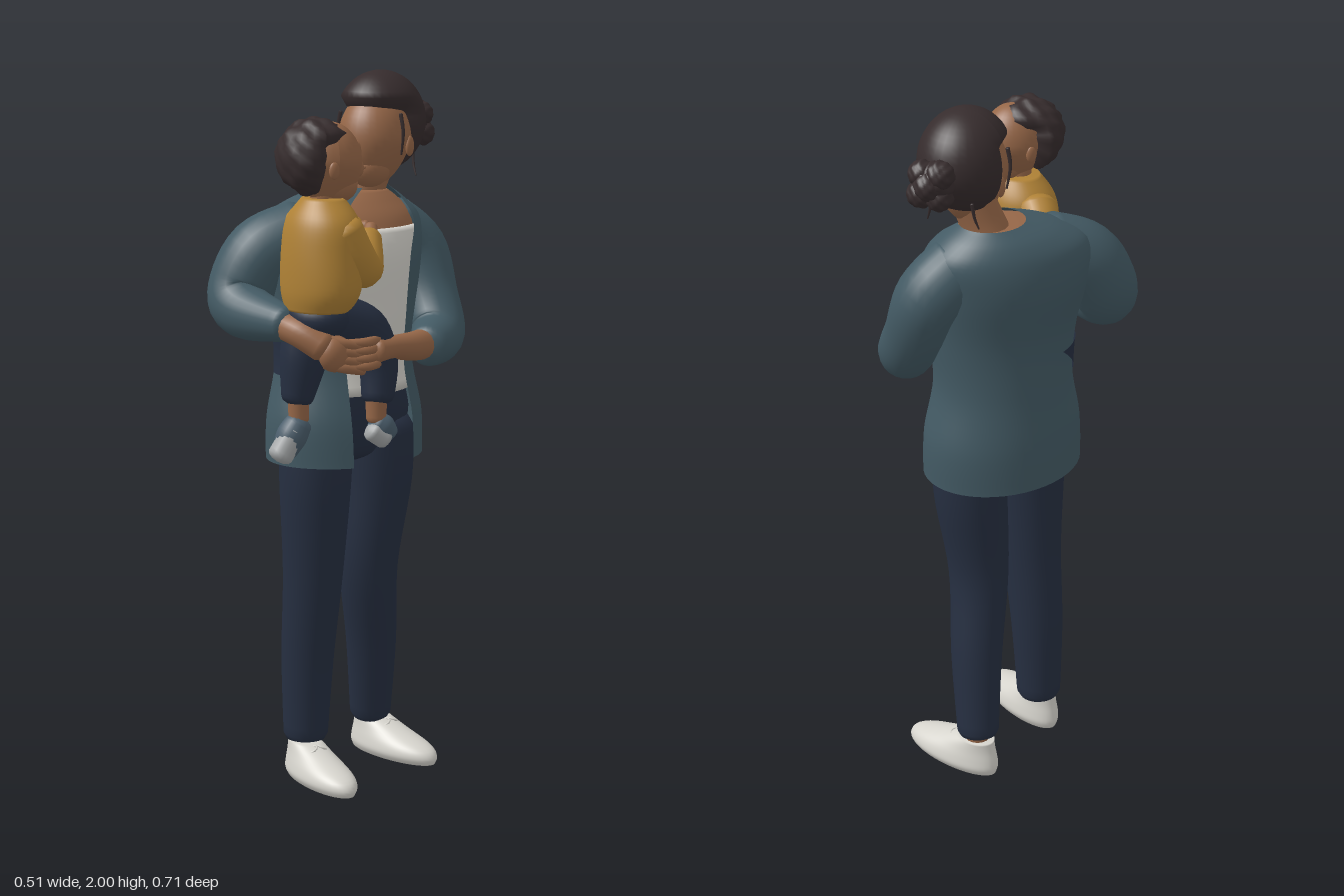
import * as THREE from 'three';

const mat = (name, color, side = THREE.FrontSide) => {
  const m = new THREE.MeshStandardMaterial({ color, side });
  m.name = name;
  return m;
};

// Catmull-Rom through rows of numbers, every column blended alike
function smooth(rows, n = 6) {
  const out = [], at = i => rows[Math.min(rows.length - 1, Math.max(0, i))];
  for (let i = 0; i < rows.length - 1; i++) {
    for (let k = 0; k < n; k++) {
      const t = k / n, [a, b, c, d] = [at(i - 1), at(i), at(i + 1), at(i + 2)];
      out.push(b.map((v, j) => 0.5 * (2 * v + (c[j] - a[j]) * t
        + (2 * a[j] - 5 * v + 4 * c[j] - d[j]) * t * t + (3 * v - a[j] - 3 * c[j] + d[j]) * t * t * t)));
    }
  }
  out.push(rows[rows.length - 1]);
  return out;
}

// Skin rings of points into a surface
function skinRings(rings, wrap = true) {
  const m = rings[0].length, pos = [], idx = [];
  rings.forEach(r => r.forEach(p => pos.push(p.x, p.y, p.z)));
  for (let i = 0; i < rings.length - 1; i++) {
    for (let j = 0; j < (wrap ? m : m - 1); j++) {
      const a = i * m + j, b = i * m + (j + 1) % m;
      idx.push(a, b, a + m, b, b + m, a + m);
    }
  }
  const g = new THREE.BufferGeometry();
  g.setAttribute('position', new THREE.Float32BufferAttribute(pos, 3));
  g.setIndex(idx);
  g.computeVertexNormals();
  return g;
}

// Upright body from rows [x, y, z, depth, width, yaw, gap to the left, gap to the right]
function body(rows, open = false, m = 40) {
  const ring = ([x, y, z, rx, rz, yaw = 0, left = 0, right = 0], s = 1) => Array.from({ length: m }, (_, j) => {
    const a = open ? left + (2 * Math.PI - left - right) * j / (m - 1) : 2 * Math.PI * j / m;
    const f = s * rx * Math.cos(a), w = -s * rz * Math.sin(a);
    return new THREE.Vector3(x + f * Math.cos(yaw) - w * Math.sin(yaw), y, z + f * Math.sin(yaw) + w * Math.cos(yaw));
  });
  const rings = rows.map(r => ring(r));
  if (!open) {
    rings.unshift(ring(rows[0], 0.001));
    rings.push(ring(rows[rows.length - 1], 0.001));
  }
  return skinRings(rings, !open);
}

// Rounded limb through rows [x, y, z, radius]
function limb(points, m = 16) {
  const rows = smooth(points), n = rows.length, rings = [];
  const P = rows.map(r => new THREE.Vector3(r[0], r[1], r[2]));
  const N = new THREE.Vector3(0.31, 0.2, 0.93);
  const ring = (c, T, r) => {
    N.addScaledVector(T, -N.dot(T)).normalize();
    const B = new THREE.Vector3().crossVectors(T, N);
    rings.push(Array.from({ length: m }, (_, j) => {
      const a = 2 * Math.PI * j / m;
      return c.clone().addScaledVector(N, r * Math.cos(a)).addScaledVector(B, r * Math.sin(a));
    }));
  };
  rows.forEach((row, i) => {
    const r = row[3], T = P[Math.min(n - 1, i + 1)].clone().sub(P[Math.max(0, i - 1)]).normalize();
    const cap = (s, k) => ring(P[i].clone().addScaledVector(T, s * r * k), T, r * Math.sqrt(1.0001 - k * k * 4));
    if (i === 0) [0.5, 0.43, 0.25].forEach(k => cap(-1, k));
    ring(P[i], T, r);
    if (i === n - 1) [0.25, 0.43, 0.5].forEach(k => cap(1, k));
  });
  return skinRings(rings);
}

// Ellipsoid, optionally shaped by a rule acting on unit-sphere points
function blob(c, r, rule) {
  const g = new THREE.SphereGeometry(1, 32, 24), p = g.attributes.position, v = new THREE.Vector3();
  for (let i = 0; i < p.count; i++) {
    v.fromBufferAttribute(p, i);
    if (rule) rule(v);
    p.setXYZ(i, c[0] + v.x * r[0], c[1] + v.y * r[1], c[2] + v.z * r[2]);
  }
  g.computeVertexNormals();
  return g;
}

export function createModel() {
  const model = new THREE.Group();
  const hair = mat('darkHair', 0x362c2d), skin = mat('skin', 0x966748), teal = mat('tealKnit', 0x435a64, THREE.DoubleSide);
  const navy = mat('navyDenim', 0x262f41, THREE.DoubleSide), white = mat('offWhite', 0xd6d4cd, THREE.DoubleSide);
  const yellow = mat('mustardKnit', 0xb08236), slate = mat('slateShoe', 0x4b5e6c), grey = mat('paleGrey', 0xa5a8a9);
  const add = (name, geo, m, parent = model) => {
    const mesh = new THREE.Mesh(geo, m);
    mesh.name = name;
    parent.add(mesh);
    return mesh;
  };

  // Open cardigan, with the shirt and chest inset beneath it
  const torso = smooth([
    [-0.05, 0.93, -0.02, 0.194, 0.238, 0, 0.47, 0.47], [-0.05, 1.05, -0.02, 0.187, 0.237, 0, 0.48, 0.48],
    [-0.053, 1.2, -0.02, 0.167, 0.205, 0.06, 0.52, 0.5], [-0.05, 1.35, -0.018, 0.168, 0.215, 0.15, 0.58, 0.5],
    [-0.063, 1.5, -0.015, 0.182, 0.24, 0.22, 0.65, 0.42], [-0.075, 1.59, -0.025, 0.163, 0.238, 0.24, 0.82, 0.32],
    [-0.08, 1.645, -0.05, 0.127, 0.172, 0.24, 0.95, 0.25], [-0.075, 1.682, -0.08, 0.083, 0.092, 0.24, 1.2, 0.2]]);
  const slice = (lo, hi, d) => torso.filter(r => r[1] >= lo && r[1] <= hi)
    .map(r => [r[0], r[1], r[2], r[3] - d, r[4] - d, r[5]]);
  add('cardigan', body(torso, true), teal);
  add('shirt', body(slice(1.11, 1.585, 0.013)), white);
  add('chest', body(slice(1.52, 1.675, 0.018)), skin);
  add('neck', limb([[-0.075, 1.63, -0.09, 0.066], [-0.06, 1.69, -0.105, 0.06], [-0.04, 1.77, -0.13, 0.058]]), skin);
  // Navy patch lying on the cardigan's right side
  add('sidePatch', body(slice(1.15, 1.3, -0.004).map(r => [...r, 3.65 + (1.29 - r[1]) * 6, 1.2]), true), navy);

  // Trousers
  add('hips', body(smooth([[-0.035, 0.92, -0.01, 0.04, 0.08], [-0.035, 0.95, -0.012, 0.085, 0.16],
    [-0.04, 1.04, -0.02, 0.118, 0.205], [-0.045, 1.14, -0.02, 0.128, 0.18]])), navy);
  add('rightLeg', limb([[-0.03, 1.0, 0.1, 0.105], [-0.03, 0.85, 0.103, 0.1], [-0.045, 0.6, 0.1, 0.085],
    [-0.07, 0.35, 0.1, 0.075], [-0.08, 0.12, 0.1, 0.064]], 24), navy);
  add('leftLeg', limb([[-0.03, 1.0, -0.12, 0.107], [-0.03, 0.85, -0.12, 0.103], [-0.045, 0.6, -0.105, 0.085],
    [-0.08, 0.35, -0.145, 0.073], [-0.115, 0.12, -0.172, 0.06]], 24), navy);

  // Shoes with bows, toes along +x
  [['right', 0.02, 0.125, -0.12], ['left', -0.035, -0.195, 0.12]].forEach(([side, x, z, turn]) => {
    const foot = new THREE.Group();
    foot.name = side + 'Foot';
    foot.position.set(x, 0, z);
    foot.rotation.y = turn;
    model.add(foot);
    add('shoe', body(smooth([[0, 0, 0, 0.155, 0.058], [0, 0.02, 0, 0.16, 0.069], [-0.01, 0.045, 0, 0.147, 0.065],
      [-0.05, 0.075, 0, 0.1, 0.053], [-0.09, 0.105, 0, 0.055, 0.043]], 4)), white, foot);
    add('ankle', limb([[-0.09, 0.06, 0, 0.036], [-0.093, 0.14, 0, 0.036]]), skin, foot);
    [-1, 1].forEach(s => {
      const bow = add('laceBow', new THREE.TorusGeometry(0.014, 0.003, 6, 14), white, foot);
      bow.position.set(-0.02, 0.095, s * 0.016);
      bow.rotation.set(Math.PI / 2 + s * 0.5, 0, 0);
    });
  });

  // Arms wrapping around the child
  add('rightSleeve', limb([[-0.09, 1.555, 0.1, 0.1], [-0.138, 1.505, 0.2, 0.104], [-0.157, 1.405, 0.262, 0.092],
    [-0.1, 1.36, 0.283, 0.078], [0.07, 1.347, 0.281, 0.049]], 24), teal);
  add('leftSleeve', limb([[-0.045, 1.56, -0.17, 0.097], [-0.015, 1.49, -0.246, 0.094], [0.04, 1.37, -0.252, 0.084],
    [0.115, 1.275, -0.222, 0.077], [0.178, 1.255, -0.13, 0.058]], 24), teal);
  add('rightForearm', limb([[0.04, 1.345, 0.281, 0.04], [0.12, 1.33, 0.275, 0.04], [0.175, 1.295, 0.24, 0.042]]), skin);
  add('rightPalm', blob([0.19, 1.275, 0.21], [0.036, 0.05, 0.05]), skin);
  add('leftForearm', limb([[0.15, 1.258, -0.16, 0.044], [0.195, 1.265, -0.06, 0.04], [0.215, 1.275, 0.03, 0.033],
    [0.217, 1.275, 0.09, 0.036]]), skin);
  for (let i = 0; i < 4; i++) {
    const y = 1.315 - i * 0.022;
    add('rightFinger', limb([[0.18, y, 0.235, 0.015], [0.213, y - 0.012, 0.195, 0.014], [0.222, y - 0.025, 0.14, 0.012]], 8), skin);
    add('leftFinger', limb([[0.222, y - 0.01, 0.09, 0.014], [0.23, y - 0.012, 0.135, 0.013], [0.208, y - 0.012, 0.19, 0.011]], 8), skin);
  }

  // A head of size s facing local +z, with its own hair
  function head(name, pos, turn, s, hairGeo) {
    const g = new THREE.Group();
    g.name = name;
    g.position.set(...pos);
    g.rotation.y = turn;
    model.add(g);
    add('face', blob([0, -0.012 * s, 0.022 * s], [0.1 * s, 0.132 * s, 0.111 * s], v => {
      if (v.y < 0) v.x *= 1 + 0.38 * v.y;
    }), skin, g);
    add('jaw', blob([0, -0.088 * s, 0.055 * s], [0.058 * s, 0.056 * s, 0.065 * s]), skin, g);
    add('nose', blob([0, -0.035 * s, 0.124 * s], [0.015 * s, 0.03 * s, 0.022 * s]), skin, g);
    add('mouth', blob([0, -0.083 * s, 0.109 * s], [0.024 * s, 0.012 * s, 0.014 * s]), skin, g);
    [-1, 1].forEach(k =>
      add('ear', blob([k * 0.098 * s, -0.03 * s, 0.003 * s], [0.01 * s, 0.028 * s, 0.018 * s]), skin, g));
    add('hair', hairGeo, hair, g);
    return g;
  }
  // Pull hair inward where the face shows
  const hairline = (v, cut) => {
    const k = THREE.MathUtils.smoothstep(v.z, -0.15, 0.08) * (1 - THREE.MathUtils.smoothstep(v.y, cut - 0.15, cut + 0.12));
    v.multiplyScalar(1 - 0.38 * k);
  };

  // Woman's head with bun and loose strands
  const woman = head('womanHead', [-0.035, 1.825, -0.132], 0.38, 1, blob([0, 0.035, -0.008], [0.123, 0.14, 0.142], v => {
    if (v.y < -0.2) v.z *= 1 + 0.25 * (v.y + 0.2);
    hairline(v, 0.4);
  }));
  [[0.015, 0.02, -0.155, 0.055], [0.045, 0.045, -0.165, 0.036], [-0.01, 0.05, -0.168, 0.038], [0.045, -0.008, -0.17, 0.038],
    [-0.005, -0.012, -0.165, 0.037], [0.018, 0.02, -0.182, 0.038]].forEach(([x, y, z, r]) =>
    add('bun', blob([x, y, z], [r, r, r], v => v.multiplyScalar(1 + 0.06 * Math.sin(9 * v.x + 40 * x) * Math.sin(8 * v.y))), hair, woman));
  [-1, 1].forEach(k => {
    add('strand', limb([[k * 0.094, 0.06, 0.05, 0.006], [k * 0.102, 0.01, 0.05, 0.005], [k * 0.094, -0.05, 0.045, 0.003]], 6), hair, woman);
    add('napeStrand', limb([[k * 0.06, -0.05, -0.09, 0.005], [k * 0.065, -0.09, -0.085, 0.004], [k * 0.075, -0.12, -0.08, 0.002]], 6), hair, woman);
  });

  // Child's head with curly hair
  head('childHead', [0.117, 1.788, 0.194], Math.PI - 0.3, 0.82, blob([0, 0.006, -0.02], [0.104, 0.103, 0.104], v => {
    const bump = 1 + 0.035 * Math.sin(13 * v.x + 2) * Math.sin(12 * v.y) + 0.03 * Math.sin(14 * v.z + 5 * v.x);
    hairline(v, 0.5);
    v.multiplyScalar(bump);
  }));

  // Child's jumper
  add('childJumper', body(smooth([[0.112, 1.385, 0.207, 0.1, 0.08], [0.117, 1.44, 0.2, 0.124, 0.097],
    [0.115, 1.54, 0.195, 0.122, 0.1], [0.113, 1.625, 0.19, 0.11, 0.09], [0.112, 1.685, 0.188, 0.06, 0.055]])), yellow);
  add('childNeck', limb([[0.113, 1.65, 0.19, 0.036], [0.117, 1.73, 0.19, 0.036]]), skin);
  add('childInnerSleeve', limb([[0.03, 1.605, 0.18, 0.058], [-0.01, 1.575, 0.15, 0.054], [0.02, 1.57, 0.085, 0.051], [0.07, 1.582, 0.03, 0.035]]), yellow);
  add('childOuterSleeve', limb([[0.18, 1.6, 0.18, 0.06], [0.195, 1.53, 0.145, 0.055], [0.18, 1.495, 0.1, 0.052], [0.12, 1.565, 0.035, 0.036]]), yellow);
  add('childInnerHand', limb([[0.07, 1.582, 0.03, 0.021], [0.088, 1.59, 0.012, 0.018]]), skin);
  add('childOuterHand', limb([[0.12, 1.568, 0.03, 0.022], [0.103, 1.59, 0.012, 0.018]]), skin);

  // Child's trousers
  add('childHips', blob([0.112, 1.365, 0.2], [0.104, 0.068, 0.09]), navy);
  add('childBackLeg', limb([[0.075, 1.36, 0.2, 0.07], [0.07, 1.25, 0.222, 0.066], [0.065, 1.14, 0.24, 0.045]]), navy);
  add('childFrontLeg', limb([[0.145, 1.365, 0.18, 0.068], [0.17, 1.325, 0.09, 0.064], [0.183, 1.24, 0.055, 0.056], [0.193, 1.14, 0.063, 0.045]]), navy);

  // Child's ankles and shoes: slate uppers on pale soles
  [[0.07, 1.12, 0.24, 0.058, 0.995, 0.28, 0.043], [0.195, 1.12, 0.07, 0.207, 1.035, 0.035, 0.036]].forEach(([x, y, z, tx, ty, tz, r]) => {
    add('childAnkle', limb([[x, y + 0.02, z, 0.03], [x, y - 0.04, z, 0.028]]), skin);
    add('childShoe', limb([[x, y - 0.05, z, r * 0.88], [(x + tx) / 2, (y + ty) / 2 - 0.022, (z + tz) / 2, r], [tx, ty, tz, r * 0.8]]), slate);
    add('childSole', limb([[x + 0.002, y - 0.07, z + 0.016, r * 0.82], [tx + 0.002, ty - 0.01, tz + 0.016, r * 0.82]]), grey);
  });
  return model;
}
